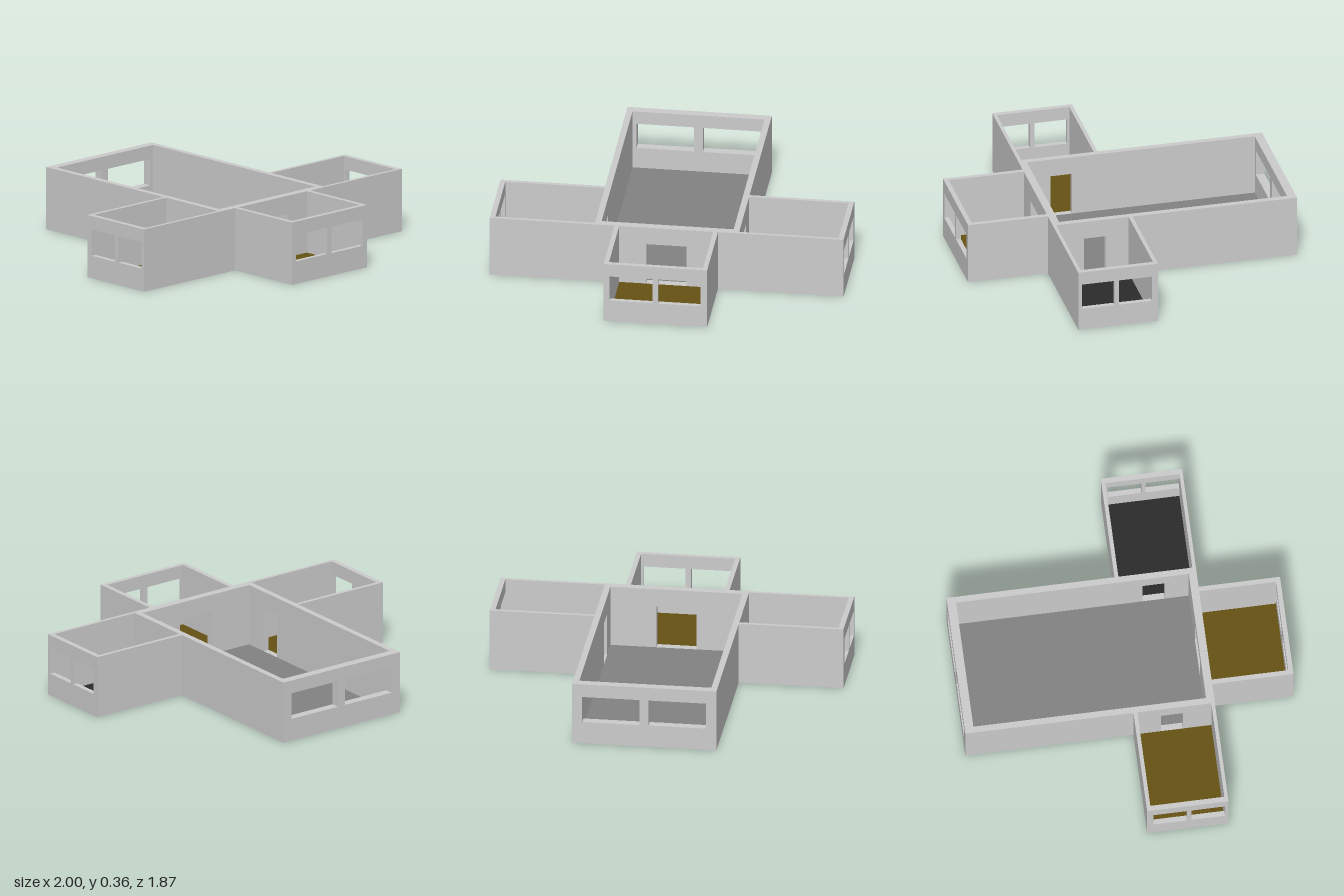
import * as THREE from 'three';

const H = 0.36; // wall height
const SILL = 0.13, HEAD = 0.283; // window bottom and top
const DOOR_HEAD = 0.255, FLOOR = 0.005;

const material = (color) => new THREE.MeshStandardMaterial({ color });
const wallMat = material(0xcccccc);
const hallFloorMat = material(0x828282);
const brownMat = material(0x665214);
const blackMat = material(0x2b2b2b);

const win = (a, b) => [a, b, SILL, HEAD];
const door = (a, b) => [a, b, FLOOR, DOOR_HEAD];

// Upright panel from a to b with rectangular openings, extruded to a thickness
function panel(a, b, depth, openings) {
  const shape = new THREE.Shape();
  shape.moveTo(a, 0).lineTo(b, 0).lineTo(b, H).lineTo(a, H).closePath();
  for (const [u0, u1, y0, y1] of openings) {
    const hole = new THREE.Path();
    hole.moveTo(u0, y0).lineTo(u0, y1).lineTo(u1, y1).lineTo(u1, y0).closePath();
    shape.holes.push(hole);
  }
  return new THREE.ExtrudeGeometry(shape, { depth, bevelEnabled: false });
}

// Wall running along x, filling z0..z1
function wallX(parent, name, x0, x1, z0, z1, openings = []) {
  const mesh = new THREE.Mesh(panel(x0, x1, z1 - z0, openings).translate(0, 0, z0), wallMat);
  mesh.name = name;
  parent.add(mesh);
}

// Wall running along z, filling x0..x1
function wallZ(parent, name, z0, z1, x0, x1, openings = []) {
  const geo = panel(z0, z1, x1 - x0, openings).rotateY(-Math.PI / 2).translate(x1, 0, 0);
  const mesh = new THREE.Mesh(geo, wallMat);
  mesh.name = name;
  parent.add(mesh);
}

// Grey base slab with a thin floor finish on top
function floor(parent, x0, x1, z0, z1, finish) {
  const layers = [['baseSlab', 0, 0.003, wallMat], ['floorFinish', 0.003, FLOOR, finish]];
  for (const [name, y0, y1, mat] of layers) {
    const geo = new THREE.BoxGeometry(x1 - x0, y1 - y0, z1 - z0);
    geo.translate((x0 + x1) / 2, (y0 + y1) / 2, (z0 + z1) / 2);
    const mesh = new THREE.Mesh(geo, mat);
    mesh.name = name;
    parent.add(mesh);
  }
}

export function createModel() {
  const model = new THREE.Group();
  model.name = 'floorPlan';
  const room = (name) => {
    const g = new THREE.Group();
    g.name = name;
    model.add(g);
    return g;
  };

  // Main hall: windows at the back, a doorway to each of the other rooms
  const hall = room('mainHall');
  floor(hall, -0.373, 0.373, -0.885, 0.43, hallFloorMat);
  wallX(hall, 'backWall', -0.408, 0.408, -0.935, -0.885, [win(-0.35, -0.025), win(0.025, 0.35)]);
  wallX(hall, 'frontWall', -0.408, 0.408, 0.43, 0.475, [door(-0.115, 0.112)]);
  wallZ(hall, 'rightWall', -0.885, 0.43, -0.408, -0.373, [door(0.17, 0.295)]);
  wallZ(hall, 'leftWall', -0.885, 0.43, 0.373, 0.408, [door(0.17, 0.295)]);

  // Side rooms, mirrored, with a pair of windows in each end wall
  for (const [name, s, finish] of [['leftRoom', 1, blackMat], ['rightRoom', -1, brownMat]]) {
    const side = room(name);
    const span = (a, b) => (s > 0 ? [a, b] : [-b, -a]);
    floor(side, ...span(0.408, 0.97), 0.037, 0.455, finish);
    wallX(side, 'backWall', ...span(0.408, 0.97), 0.015, 0.037);
    wallX(side, 'frontWall', ...span(0.408, 0.97), 0.455, 0.475);
    wallZ(side, 'endWall', 0.015, 0.475, ...span(0.97, 1), [win(0.05, 0.24), win(0.265, 0.455)]);
  }

  // Front room with two windows
  const front = room('frontRoom');
  floor(front, -0.268, 0.263, 0.475, 0.908, brownMat);
  wallZ(front, 'rightWall', 0.475, 0.908, -0.295, -0.268);
  wallZ(front, 'leftWall', 0.475, 0.908, 0.263, 0.29);
  wallX(front, 'frontWall', -0.295, 0.29, 0.908, 0.935, [win(-0.262, -0.02), win(0.012, 0.252)]);

  return model;
}
